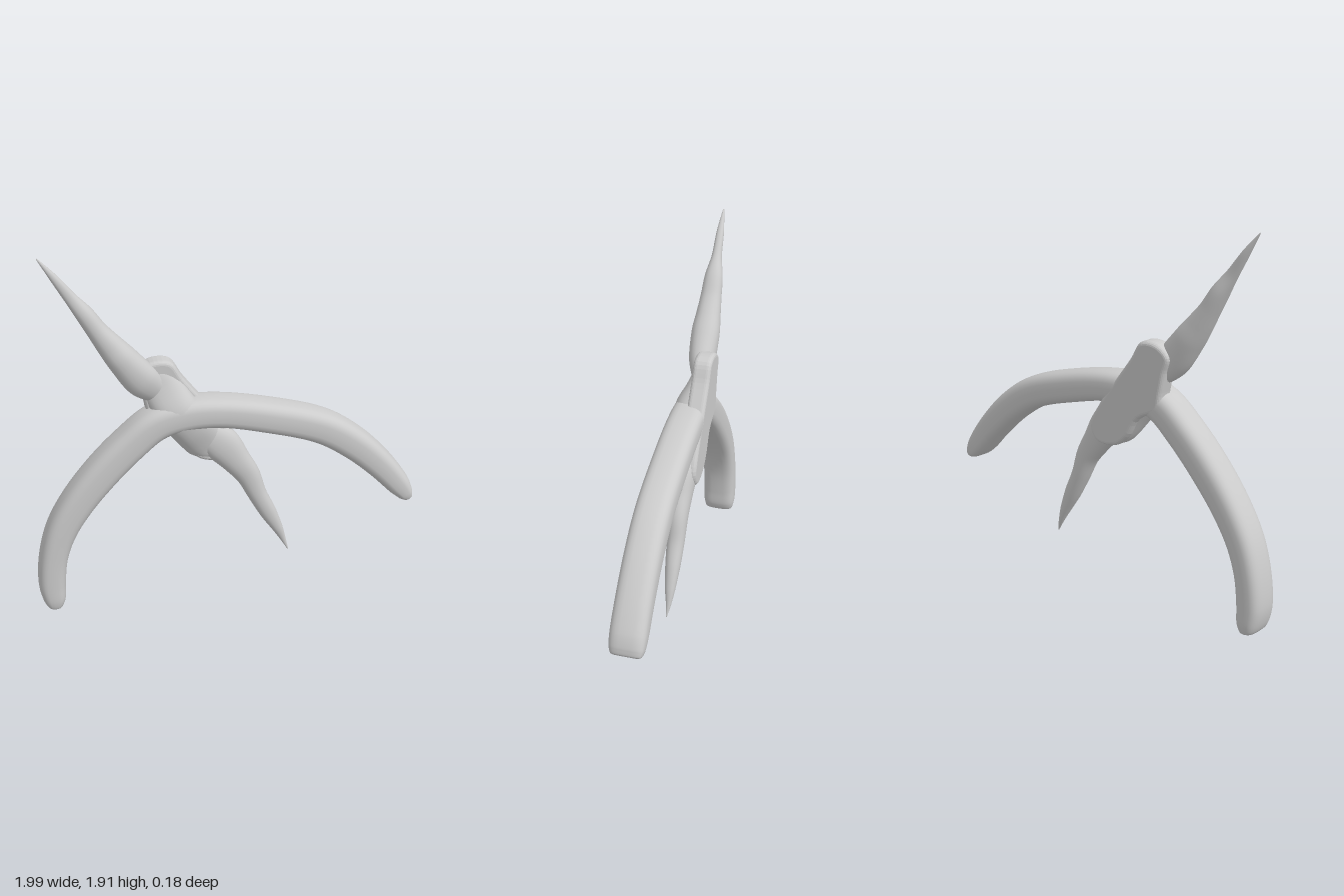
import * as THREE from 'three';

const material = new THREE.MeshStandardMaterial({ color: 0xcccccc });

// Sweep a superellipse along stations [x, y, halfWidth, z, halfDepth]
function sweep(name, stations, power, steps, sides = 28) {
  const path = new THREE.CatmullRomCurve3(stations.map(s => new THREE.Vector3(s[0], s[1], 0)));
  const size = new THREE.CatmullRomCurve3(
    stations.map(s => new THREE.Vector3(s[2], s[3], s[4])), false, 'catmullrom', 0.5);
  const bend = v => Math.sign(v) * Math.pow(Math.abs(v), 2 / power);
  const positions = [], indices = [];
  for (let i = 0; i <= steps; i++) {
    const c = path.getPoint(i / steps), t = path.getTangent(i / steps);
    const s = size.getPoint(i / steps);
    const w = Math.max(s.x, 0.002), d = Math.max(s.z, 0.002);
    for (let j = 0; j < sides; j++) {
      const a = (j / sides) * Math.PI * 2;
      const u = bend(Math.cos(a)) * w;
      positions.push(c.x - t.y * u, c.y + t.x * u, s.y + bend(Math.sin(a)) * d);
      if (i < steps) {
        const k = (j + 1) % sides, p = i * sides, q = p + sides;
        indices.push(p + j, p + k, q + j, p + k, q + k, q + j);
      }
    }
  }
  // Close both ends
  const last = steps * sides;
  for (let j = 1; j < sides - 1; j++) {
    indices.push(0, j + 1, j, last, last + j, last + j + 1);
  }
  const geometry = new THREE.BufferGeometry();
  geometry.setAttribute('position', new THREE.Float32BufferAttribute(positions, 3));
  geometry.setIndex(indices);
  geometry.computeVertexNormals();
  const mesh = new THREE.Mesh(geometry, material);
  mesh.name = name;
  return mesh;
}

export function createModel() {
  const group = new THREE.Group();
  group.name = 'pliers';

  // Two curved grips running through the joint as one band
  group.add(sweep('handles', [
    [-0.925, 0.003, 0.004, 0, 0.06], [-0.924, 0.015, 0.04, 0, 0.078],
    [-0.925, 0.06, 0.06, 0, 0.088], [-0.93, 0.15, 0.07, 0, 0.09],
    [-0.91, 0.31, 0.072, 0, 0.09], [-0.86, 0.46, 0.077, 0, 0.09],
    [-0.77, 0.61, 0.082, 0, 0.09], [-0.64, 0.77, 0.086, 0, 0.09],
    [-0.5, 0.91, 0.086, 0, 0.09], [-0.36, 1.02, 0.085, 0, 0.09],
    [-0.22, 1.055, 0.082, 0, 0.09], [-0.05, 1.053, 0.079, 0, 0.09],
    [0.2, 1.0, 0.083, 0, 0.09], [0.48, 0.91, 0.085, 0, 0.09],
    [0.65, 0.8, 0.083, 0, 0.09], [0.8, 0.66, 0.075, 0, 0.09],
    [0.91, 0.53, 0.063, 0, 0.09], [0.95, 0.475, 0.046, 0, 0.085],
    [0.967, 0.452, 0.028, 0, 0.075], [0.971, 0.445, 0.004, 0, 0.06],
  ], 3, 114));

  // Flat joint plate against the back
  const outline = new THREE.CatmullRomCurve3([
    [-0.41, 1.1], [-0.43, 1.2], [-0.45, 1.28], [-0.38, 1.335], [-0.28, 1.33],
    [-0.22, 1.24], [-0.13, 1.12], [-0.02, 0.97], [0.04, 0.85], [0.0, 0.77],
    [-0.12, 0.77], [-0.2, 0.83], [-0.27, 0.94], [-0.39, 1.01],
  ].reverse().map(([x, y]) => new THREE.Vector3(x, y, 0)), true);
  const shape = new THREE.Shape(outline.getPoints(70).slice(0, -1).map(p => new THREE.Vector2(p.x, p.y)));
  const plateGeometry = new THREE.ExtrudeGeometry(shape, {
    depth: 0.05, bevelEnabled: true, bevelThickness: 0.022, bevelSize: 0.02,
    bevelOffset: -0.02, bevelSegments: 4,
  });
  plateGeometry.translate(0, 0, -0.068);
  const plate = new THREE.Mesh(plateGeometry, material);
  plate.name = 'jointPlate';
  group.add(plate);

  // Rounded swelling where the jaw meets the handles
  group.add(sweep('jointCore', [
    [-0.37, 1.3, 0.005, -0.035, 0.01], [-0.355, 1.27, 0.07, -0.035, 0.04],
    [-0.32, 1.19, 0.1, -0.025, 0.06], [-0.26, 1.08, 0.11, 0, 0.088],
    [-0.18, 0.97, 0.11, -0.01, 0.078], [-0.11, 0.86, 0.1, -0.03, 0.055],
    [-0.08, 0.8, 0.06, -0.035, 0.04], [-0.075, 0.78, 0.005, -0.035, 0.01],
  ], 2.3, 42));

  // Long tapering point above the joint
  group.add(sweep('upperJaw', [
    [-0.33, 1.16, 0.06, -0.03, 0.045], [-0.42, 1.25, 0.085, -0.005, 0.066],
    [-0.515, 1.375, 0.075, 0, 0.072], [-0.57, 1.45, 0.063, 0, 0.063],
    [-0.625, 1.53, 0.05, 0, 0.054], [-0.68, 1.62, 0.043, 0, 0.046],
    [-0.74, 1.705, 0.03, 0, 0.026], [-0.81, 1.81, 0.019, 0, 0.019],
    [-0.88, 1.907, 0.003, 0, 0.003],
  ], 2.2, 64, 24));

  // Shorter tapering point below the joint
  group.add(sweep('lowerJaw', [
    [-0.12, 0.92, 0.08, -0.03, 0.05], [-0.03, 0.845, 0.095, -0.025, 0.06],
    [0.05, 0.74, 0.075, -0.02, 0.056], [0.11, 0.65, 0.063, -0.02, 0.05],
    [0.16, 0.53, 0.05, -0.02, 0.045], [0.22, 0.41, 0.044, -0.02, 0.038],
    [0.275, 0.3, 0.028, -0.02, 0.026], [0.305, 0.23, 0.015, -0.02, 0.014],
    [0.332, 0.163, 0.003, -0.015, 0.003],
  ], 2.2, 64, 24));

  return group;
}
